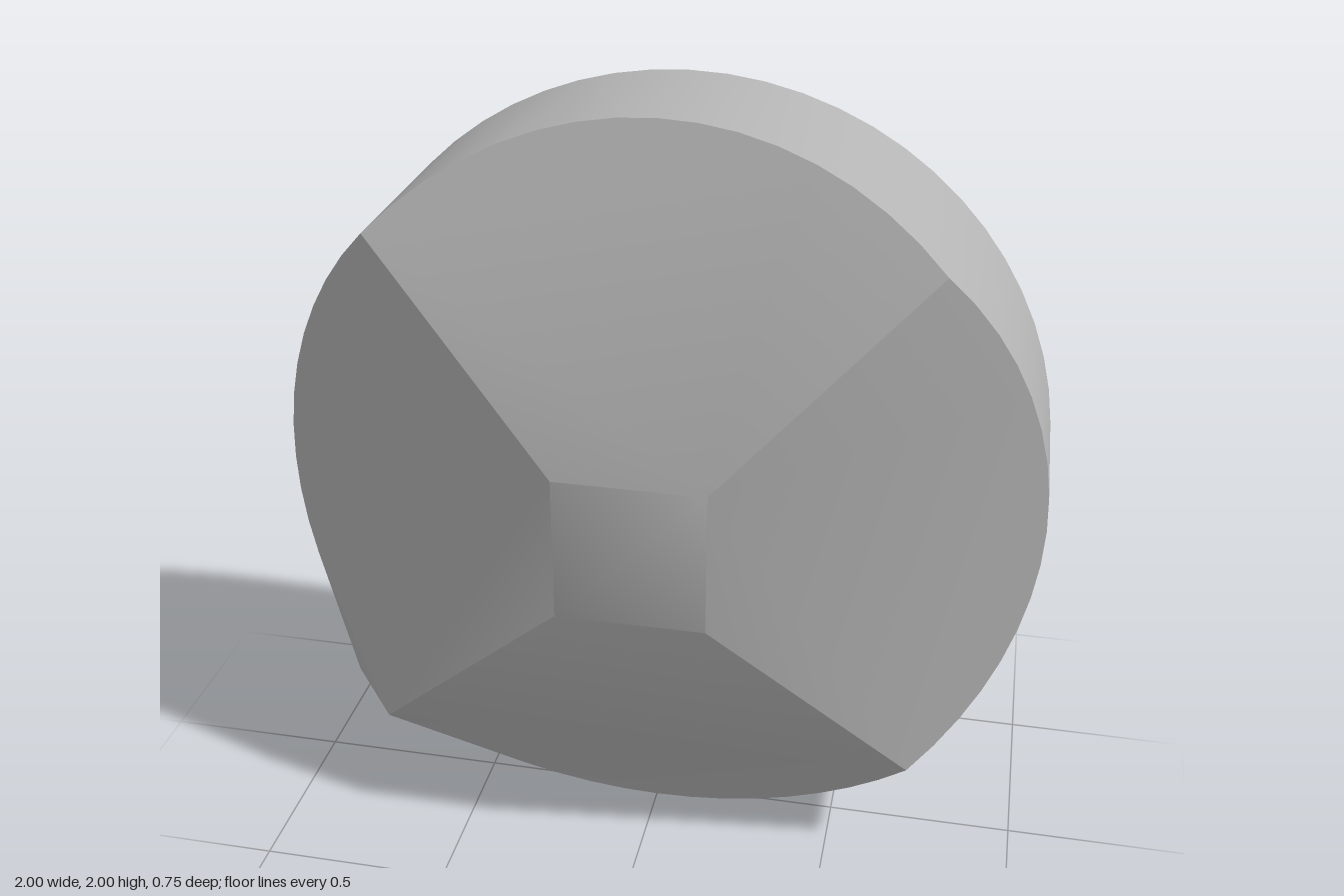
import * as THREE from 'three';
import { ConvexGeometry } from 'three/addons/geometries/ConvexGeometry.js';
import { toCreasedNormals } from 'three/addons/utils/BufferGeometryUtils.js';

const BACK = -0.377, FRONT = 0.377, FLAT = 0.193, SLOPE = 0.418;

// depth of the four-sided sloping front at a given point
const frontZ = (x, y) =>
  FRONT - SLOPE * Math.max(0, Math.max(Math.abs(x), Math.abs(y)) - FLAT);

export function createModel() {
  const group = new THREE.Group();
  const grey = new THREE.MeshStandardMaterial({ color: 0xb4b4b4 });
  grey.name = 'grey';

  const points = [];
  const add = (x, y, z) => points.push(new THREE.Vector3(x, y, z));

  // round back face and the rim where the wall meets the sloping front
  const segments = 64;
  for (let i = 0; i < segments; i++) {
    const a = (i / segments) * Math.PI * 2;
    const x = Math.cos(a), y = Math.sin(a);
    add(x, y, BACK);
    add(x, y, frontZ(x, y));
  }

  // small square flat at the front
  for (const x of [-FLAT, FLAT]) for (const y of [-FLAT, FLAT]) add(x, y, FRONT);

  // blunt corner bulging out of the lower side
  for (const [x, y] of [[-0.885, -0.7], [-0.7, -0.885]]) {
    add(x, y, -0.1);
    add(x, y, 0.02);
  }
  add(-0.76, -0.76, frontZ(-0.76, -0.76));

  const body = new THREE.Mesh(toCreasedNormals(new ConvexGeometry(points), 0.52), grey);
  body.name = 'facetedBody';
  body.position.y = 1;
  group.add(body);
  return group;
}
